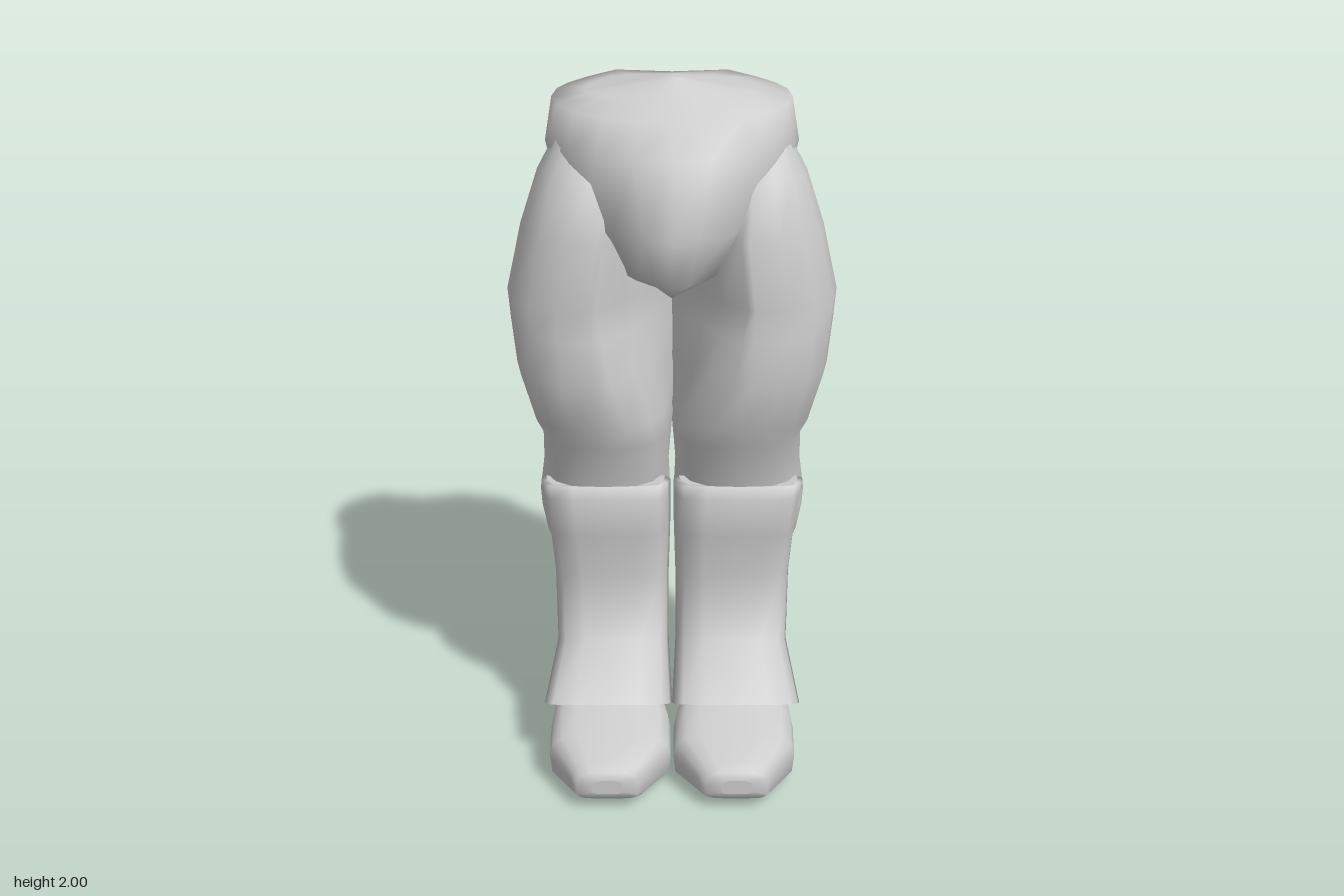
import * as THREE from 'three';

const lerp = THREE.MathUtils.lerp;
const bend = (v, e) => Math.sign(v) * Math.abs(v) ** e;
const round = (n, fn) => Array.from({ length: n }, (_, i) => {
  const a = (i / n) * Math.PI * 2;
  return fn(Math.cos(a), Math.sin(a));
});

// Skins closed rings into a smooth body with flat end caps
function loft(name, rings, side = 1) {
  if (side < 0) rings = rings.map(r => r.map(([x, y, z]) => [-x, y, z]).reverse());
  const n = rings[0].length;
  const pos = rings.flat(2);
  const idx = [];
  for (let r = 0; r < rings.length - 1; r++) {
    for (let i = 0; i < n; i++) {
      const j = (i + 1) % n, a = r * n + i, b = r * n + j;
      idx.push(a, a + n, b, b, a + n, b + n);
    }
  }
  const cap = (ring, flip) => {
    const base = pos.length / 3;
    const mid = [0, 1, 2].map(k => ring.reduce((s, p) => s + p[k], 0) / n);
    pos.push(...ring.flat(), ...mid);
    for (let i = 0; i < n; i++) {
      const a = base + i, b = base + (i + 1) % n;
      idx.push(base + n, flip ? b : a, flip ? a : b);
    }
  };
  cap(rings[0], false);
  cap(rings[rings.length - 1], true);
  const geo = new THREE.BufferGeometry();
  geo.setAttribute('position', new THREE.Float32BufferAttribute(pos, 3));
  geo.setIndex(idx);
  geo.computeVertexNormals();
  const mesh = new THREE.Mesh(geo, new THREE.MeshStandardMaterial({ color: 0xcccccc, roughness: 0.8 }));
  mesh.name = name;
  return mesh;
}

// Hips: [yBack, yFront, halfWidth, zBack, zFront], bottom to top
function pelvis() {
  const rows = [
    [1.50, 1.43, 0.04, -0.30, 0.10],
    [1.51, 1.48, 0.19, -0.40, 0.17],
    [1.66, 1.62, 0.31, -0.45, 0.225],
    [1.81, 1.82, 0.35, -0.41, 0.17],
    [1.97, 1.90, 0.33, -0.32, 0.06],
    [1.97, 1.945, 0.24, -0.25, 0.00],
    [2.00, 2.00, 0.02, -0.11, -0.07],
  ];
  return loft('pelvis', rows.map(([yb, yf, w, zb, zf], r) => round(20, (c, s) => {
    // Squarer at the back, pointed towards the groin in front
    const e = s < 0 ? 0.62 : r < 3 ? 1.25 : 1.05;
    const x = bend(c, e) * w;
    // Cleft down the middle of the back
    const cleft = s < -0.99 && r > 0 && r < 5 ? 0.04 : 0;
    return [
      x,
      // Waist slopes down from the middle to the hips
      Math.min(lerp(yb, yf, (s + 1) / 2), 2 - 0.2 * Math.abs(x)),
      (zb + zf) / 2 + bend(s, e) * (zf - zb) / 2 + cleft,
    ];
  })));
}

// Leg and heel: [y, xInner, xOuter, zBack, zFront, cut of the inner front corner]
function leg(side) {
  const rows = [
    [0.00, 0.06, 0.31, -0.32, -0.13, 0],
    [0.08, 0.05, 0.325, -0.353, -0.11, 0],
    [0.20, 0.055, 0.315, -0.325, 0.02, 0],
    [0.35, 0.04, 0.33, -0.28, 0.03, 0],
    [0.53, 0.03, 0.345, -0.35, 0.00, 0],
    [0.63, 0.01, 0.385, -0.42, 0.02, 0],
    [0.72, 0.005, 0.40, -0.425, 0.04, 0],
    [0.83, 0.01, 0.385, -0.42, 0.06, 0],
    [0.98, 0.00, 0.38, -0.35, 0.11, 0],
    [1.05, -0.01, 0.40, -0.36, 0.14, 0.02],
    [1.20, -0.01, 0.44, -0.38, 0.18, 0.06],
    [1.32, -0.01, 0.455, -0.40, 0.155, 0.08],
    [1.41, -0.01, 0.463, -0.42, 0.16, 0.09],
    [1.60, -0.01, 0.42, -0.42, 0.155, 0.08],
    [1.75, 0.06, 0.37, -0.39, 0.09, 0],
    [1.85, 0.15, 0.315, -0.33, 0.00, 0],
  ];
  return loft('leg', rows.map(([y, x0, x1, zb, zf, cut]) => round(16, (c, s) => {
    // Thigh is widest ahead of its middle and tapers on its outer side
    const outerThigh = y > 1 && c > 0;
    const e = outerThigh ? 1 : s < -0.1 ? 0.95 : 0.8;
    return [
      (x0 + x1) / 2 + bend(c, e) * (x1 - x0) / 2 + (c < -0.1 && s > 0.1 ? cut : 0),
      y,
      (zb + zf) / 2 + bend(s, e) * (zf - zb) / 2 + (outerThigh ? 0.08 * c * c : 0),
    ];
  })), side);
}

// Foot of the boot: [z, xInner, xOuter, yBottom, yTop], toe to ankle
function boot(side) {
  const rows = [
    [0.452, 0.14, 0.23, 0.055, 0.10],
    [0.446, 0.095, 0.275, 0.035, 0.125],
    [0.42, 0.075, 0.29, 0.025, 0.14],
    [0.32, 0.004, 0.357, 0.015, 0.175],
    [0.20, 0.004, 0.36, 0.015, 0.21],
    [0.10, 0.03, 0.35, 0.02, 0.25],
    [0.00, 0.06, 0.33, 0.06, 0.30],
    [-0.11, 0.075, 0.31, 0.08, 0.31],
    [-0.20, 0.10, 0.28, 0.08, 0.28],
  ];
  return loft('boot', rows.map(([z, x0, x1, yb, yt]) => round(16, (c, s) => [
    (x0 + x1) / 2 + bend(c, s < 0 ? 0.4 : 0.65) * (x1 - x0) / 2,
    (yb + yt) / 2 + bend(s, s < 0 ? 0.4 : 0.8) * (yt - yb) / 2,
    z,
  ])), side);
}

// Shin guard: [yFront, zFront, yBack, zBack, xInner, xOuter], top to bottom
function shinGuard(side) {
  const rows = [
    [0.835, 0.04, 0.83, -0.04, 0.02, 0.37],
    [0.845, 0.07, 0.82, -0.04, 0.005, 0.385],
    [0.81, 0.09, 0.79, -0.04, 0.005, 0.38],
    [0.70, 0.10, 0.69, -0.04, 0.005, 0.365],
    [0.55, 0.06, 0.52, -0.04, 0.01, 0.35],
    [0.35, 0.10, 0.31, 0.01, 0.01, 0.345],
    [0.23, 0.26, 0.175, 0.16, 0.00, 0.38],
  ];
  // Across the guard: fraction of width, fraction of depth
  const across = [[0, 0], [0.02, 0.45], [0.08, 0.85], [0.25, 0.98], [0.5, 1],
    [0.75, 0.98], [0.92, 0.85], [0.98, 0.45], [1, 0]];
  return loft('shinGuard', rows.map(([yf, zf, yb, zb, x0, x1]) =>
    across.map(([u, d]) => [lerp(x0, x1, u), lerp(yb, yf, d), lerp(zb, zf, d)])), side);
}

export function createModel() {
  const model = new THREE.Group();
  model.name = 'armouredLegs';
  model.add(pelvis());
  for (const side of [1, -1]) {
    const limb = new THREE.Group();
    limb.name = side > 0 ? 'leftLeg' : 'rightLeg';
    limb.add(leg(side), boot(side), shinGuard(side));
    model.add(limb);
  }
  return model;
}
